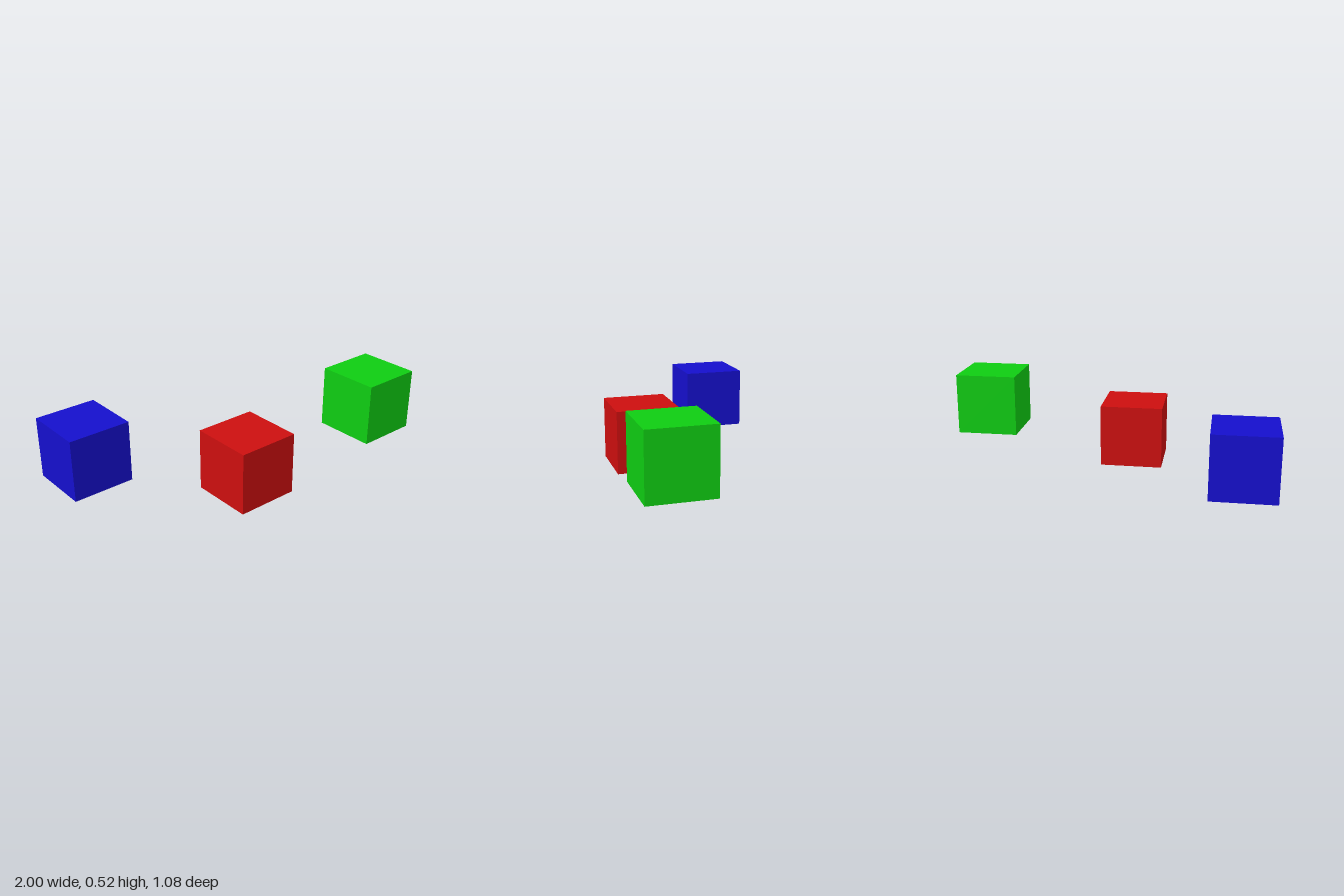
import * as THREE from 'three';

const SIZE = 0.378;

export function createModel() {
  const model = new THREE.Group();
  model.name = 'cubes';
  const geometry = new THREE.BoxGeometry(SIZE, SIZE, SIZE);

  // Three equal cubes, each given by its colour and centre
  const cubes = [
    { name: 'redCube', color: 0xcc0f0f, center: [-0.126, 0.189, 0.284] },
    { name: 'greenCube', color: 0x0fcc12, center: [0.811, 0.335, 0.352] },
    { name: 'blueCube', color: 0x150fcc, center: [-0.811, 0.244, -0.352] },
  ];
  for (const { name, color, center } of cubes) {
    const cube = new THREE.Mesh(geometry, new THREE.MeshStandardMaterial({ color }));
    cube.name = name;
    cube.position.set(...center);
    model.add(cube);
  }
  return model;
}
